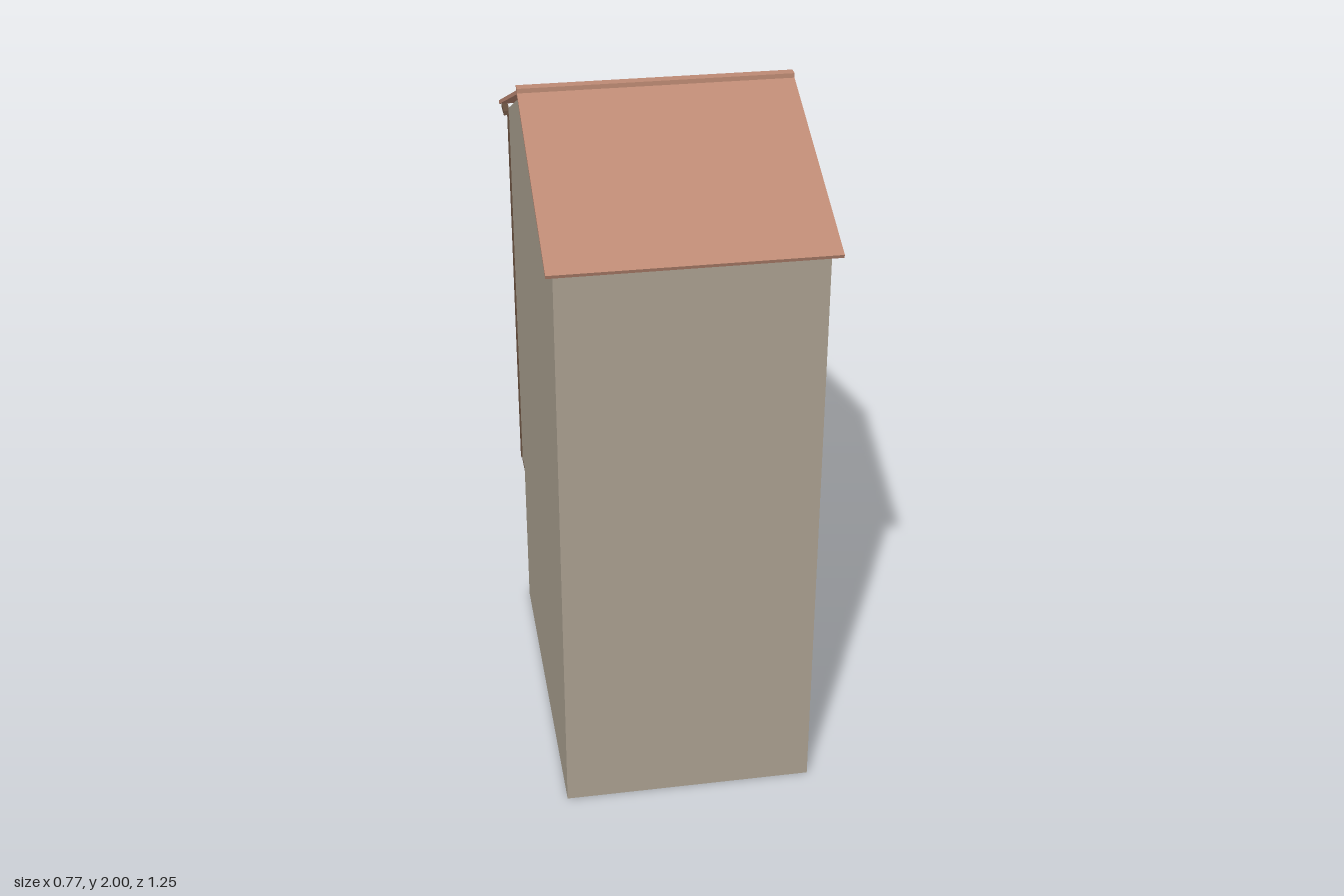
import * as THREE from 'three';

const mat = (name, color, side = THREE.FrontSide) => {
  const m = new THREE.MeshStandardMaterial({ color, side });
  m.name = name;
  return m;
};

export function createModel() {
  const wall = mat('plaster', 0xa99f8f);
  const tile = mat('roofTile', 0xbd8a74);
  const timber = mat('timber', 0x66503f);
  const shutterWood = mat('shutterWood', 0x7d6152);
  const dark = mat('darkOpening', 0x1c1e20, THREE.DoubleSide);
  const stone = mat('stone', 0x8f887a);
  const plank = mat('weatheredPlank', 0x7a6e60);
  const goods = mat('goods', 0xa39a86);

  const root = new THREE.Group();
  const group = (name, parent = root) => {
    const g = new THREE.Group();
    g.name = name;
    parent.add(g);
    return g;
  };
  const add = (parent, name, geo, m) => {
    const mesh = new THREE.Mesh(geo, m);
    mesh.name = name;
    parent.add(mesh);
    return mesh;
  };
  // box given by its size and centre
  const box = (parent, name, m, w, h, d, x, y, z) => {
    const mesh = add(parent, name, new THREE.BoxGeometry(w, h, d), m);
    mesh.position.set(x, y, z);
    return mesh;
  };
  // bar in the y-z plane running from (y0, z0) to (y1, z1)
  const bar = (parent, name, m, w, t, x, y0, z0, y1, z1) => {
    const b = box(parent, name, m, w, t, Math.hypot(y1 - y0, z1 - z0), x, (y0 + y1) / 2, (z0 + z1) / 2);
    b.rotation.x = -Math.atan2(y1 - y0, z1 - z0);
    return b;
  };

  const Z = -0.555;   // upper facade plane
  const ZL = -0.48;   // lower facade plane

  // House body: gabled section with a jettied back
  const section = new THREE.Shape([
    [0.583, 0], [0.583, 1.72], [0, 1.983], [Z, 1.732], [Z, 0.505], [ZL, 0.505], [ZL, 0],
  ].map(p => new THREE.Vector2(...p)));
  const bodyGeo = new THREE.ExtrudeGeometry(section, { depth: 0.724, bevelEnabled: false });
  bodyGeo.translate(0, 0, -0.362).rotateY(-Math.PI / 2);
  add(root, 'body', bodyGeo, wall);

  // Roof slabs, ridge and rafters under the back eave
  const roof = group('roof');
  for (const s of [-1, 1]) bar(roof, 'roofSlab', tile, 0.768, 0.011, 0, 1.986, 0, 1.727, s * 0.623);
  box(roof, 'ridgeCap', tile, 0.768, 0.016, 0.03, 0, 1.992, -0.003);
  for (let i = 0; i < 17; i++)
    box(roof, 'rafterEnd', timber, 0.018, 0.014, 0.068, -0.368 + i * 0.046, 1.717, -0.587);

  // Timber grid of the upper facade
  const frame = group('timberFrame');
  for (const x of [-0.354, -0.12, 0.12, 0.354])
    box(frame, 'post', timber, 0.024, 1.21, 0.02, x, 1.11, Z + 0.002);
  for (const y of [0.517, 0.81, 1.105, 1.4, 1.7])
    box(frame, 'rail', timber, 0.732, 0.024, 0.019, 0, y, Z + 0.002);

  // Windows: o = open, a = shutters ajar, c = shutters closed (columns run from +x to -x)
  const windows = group('windows');
  ['aoa', 'aco', 'aca', 'ooo'].forEach((row, r) => {
    const y = 1.555 - r * 0.302;
    [...row].forEach((kind, c) => {
      const x = 0.24 - c * 0.24;
      const w = group('window', windows);
      box(w, 'opening', dark, 0.07, 0.13, 0.004, x, y, Z - 0.001);
      box(w, 'sill', timber, 0.09, 0.01, 0.014, x, y - 0.068, Z - 0.003);
      if (kind === 'o') return;
      for (const s of [-1, 1]) {
        const lx = x + s * (kind === 'a' ? 0.027 : 0.018);
        const lw = kind === 'a' ? 0.028 : 0.034;
        box(w, 'shutterLeaf', shutterWood, lw, 0.128, 0.005, lx, y, Z - 0.004);
        for (const dy of [-0.034, 0.034])
          box(w, 'shutterBatten', timber, lw, 0.01, 0.005, lx, y + dy, Z - 0.008);
      }
    });
  });

  // Jetty: joists and diagonal braces
  const jetty = group('jetty');
  for (let i = 0; i < 9; i++)
    box(jetty, 'joist', timber, 0.026, 0.02, 0.09, -0.348 + i * 0.087, 0.495, -0.52);
  for (const x of [0.345, 0.165, -0.335])
    bar(jetty, 'brace', timber, 0.02, 0.016, x, 0.385, -0.476, 0.492, -0.548);

  // Half ring of irregularly long arch stones
  const archStones = (name, cx, cy, r, size, n) => {
    const g = group(name);
    for (let i = 0; i < n; i++) {
      const a = Math.PI * (i + 0.5) / n;
      const len = size * (i % 2 ? 0.85 : 1.1);
      const b = box(g, 'archStone', stone, len, Math.PI * r / n * 0.92, 0.012,
        cx + Math.cos(a) * (r + len / 2), cy + Math.sin(a) * (r + len / 2), ZL - 0.001);
      b.rotation.z = a;
    }
  };
  const SX = -0.085;
  archStones('shopArch', SX, 0.32, 0.135, 0.032, 13);
  archStones('blindArch', 0.235, 0.325, 0.046, 0.024, 9);

  // Shop opening
  const shop = group('shop');
  const open = new THREE.Shape();
  open.moveTo(-0.135, 0.115);
  open.lineTo(0.135, 0.115);
  open.lineTo(0.135, 0.32);
  open.absarc(0, 0.32, 0.135, 0, Math.PI, false);
  open.closePath();
  add(shop, 'shopOpening', new THREE.ShapeGeometry(open, 16), dark).position.set(SX, 0, ZL - 0.003);
  for (let i = 0; i < 10; i++)
    box(shop, 'openingSlat', dark, 0.012, 0.2, 0.004, SX - 0.126 + i * 0.028, 0.205, ZL - 0.003);

  // Propped-up flap with its struts
  bar(shop, 'flap', plank, 0.28, 0.005, SX, 0.348, ZL, 0.376, -0.56);
  for (const s of [-1, 1])
    bar(shop, 'flapStrut', timber, 0.007, 0.005, SX + s * 0.132, 0.292, ZL, 0.374, -0.557);

  // Counter with trays of goods
  box(shop, 'counter', plank, 0.285, 0.008, 0.052, SX, 0.206, -0.505);
  for (const s of [-1, 1])
    box(shop, 'counterLeg', timber, 0.008, 0.07, 0.007, SX + s * 0.132, 0.17, -0.525);
  for (let i = 0; i < 5; i++) {
    const x = SX - 0.108 + i * 0.054;
    box(shop, 'tray', plank, 0.046, 0.018, 0.032, x, 0.219, -0.498);
    box(shop, 'trayGoods', goods, 0.038, 0.008, 0.026, x, 0.231, -0.498);
  }
  return root;
}
